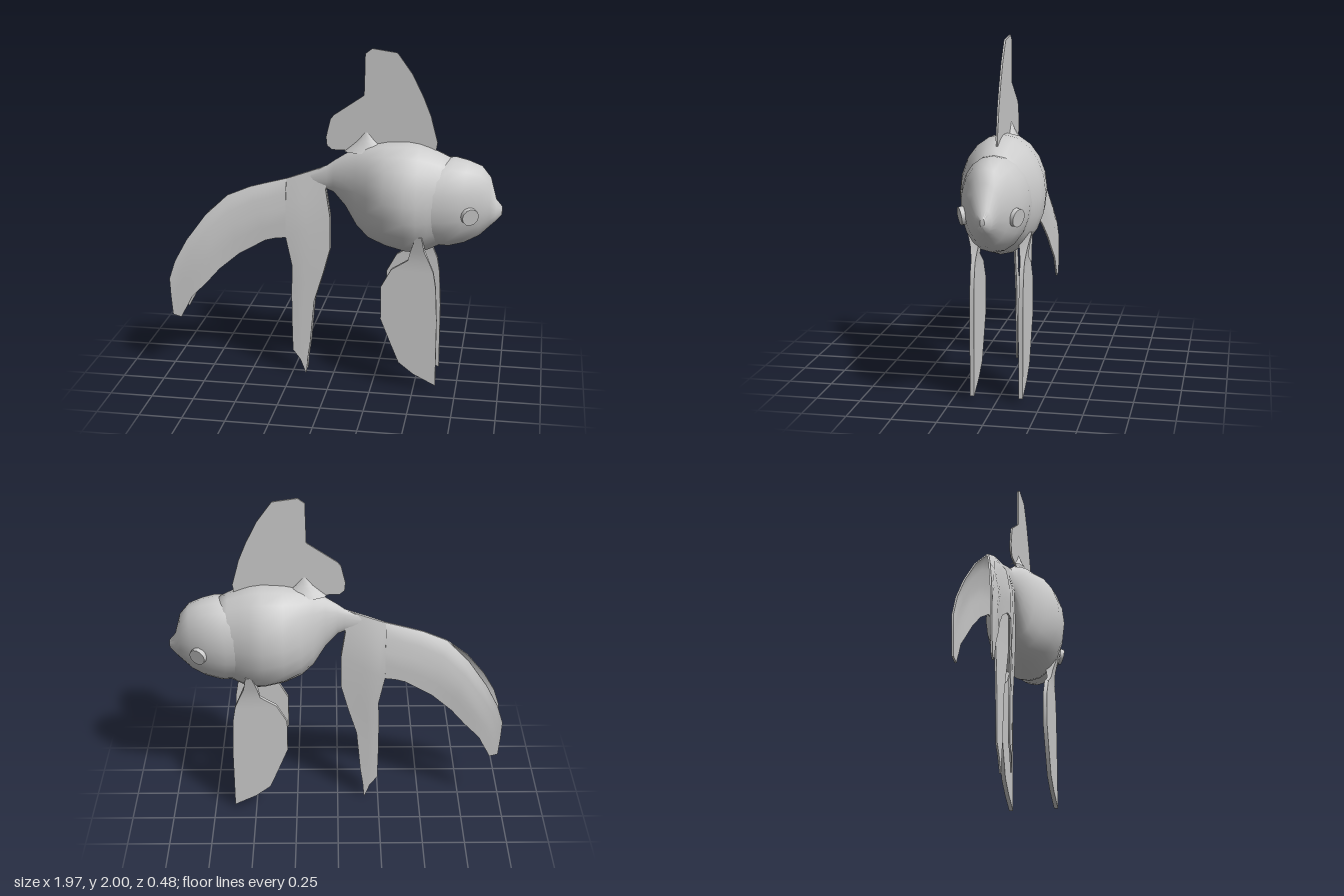
import * as THREE from 'three';
import { toCreasedNormals } from 'three/addons/utils/BufferGeometryUtils.js';

const { lerp, clamp, smoothstep } = THREE.MathUtils;
const material = new THREE.MeshStandardMaterial({ color: 0xcccccc });

// Skin closed rings of points and cap both ends; side -1 mirrors across z.
function loft(rings, side = 1, crease = 0.8) {
  const cap = (ring) => {
    const c = ring.reduce((s, p) => s.add(p), new THREE.Vector3()).divideScalar(ring.length);
    return ring.map(() => c);
  };
  const rows = [cap(rings[0]), ...rings, cap(rings[rings.length - 1])];
  const pos = [];
  const tri = (a, b, c) => {
    if (a.distanceTo(b) < 1e-6 || b.distanceTo(c) < 1e-6 || c.distanceTo(a) < 1e-6) return;
    for (const p of side > 0 ? [a, b, c] : [a, c, b]) pos.push(p.x, p.y, p.z * side);
  };
  for (let i = 0; i < rows.length - 1; i++) {
    const n = rows[i].length;
    for (let j = 0; j < n; j++) {
      const k = (j + 1) % n;
      tri(rows[i][j], rows[i + 1][j], rows[i + 1][k]);
      tri(rows[i][j], rows[i + 1][k], rows[i][k]);
    }
  }
  const g = new THREE.BufferGeometry();
  g.setAttribute('position', new THREE.Float32BufferAttribute(pos, 3));
  return toCreasedNormals(g, crease);
}

// Elliptical ring; bend curves it into the swept edge of a gill cover.
function oval(x, top, bottom, w, bend = 0) {
  return Array.from({ length: 20 }, (_, j) => {
    const a = (j / 20) * Math.PI * 2, s = Math.sin(a);
    return new THREE.Vector3(
      x + bend * (0.13 * s * s + 0.03 * s),
      (top + bottom) / 2 + ((top - bottom) / 2) * s,
      w * Math.cos(a));
  });
}

// Thin sheet across ribs [ax, ay, bx, by], placed in depth by zAt.
function sheet(ribs, zAt, half, side) {
  const n = 8;
  return loft(ribs.map(([ax, ay, bx, by]) => {
    const row = (s) => Array.from({ length: n + 1 }, (_, j) => {
      const x = lerp(ax, bx, j / n), y = lerp(ay, by, j / n);
      return new THREE.Vector3(x, y, zAt(x, y) + s * half(y));
    });
    return [...row(1), ...row(-1).reverse()];
  }), side);
}

// Linear lookup in [x, value] pairs listed by falling x.
function along(table, x) {
  for (let i = 1; i < table.length; i++) {
    const [x0, v0] = table[i - 1], [x1, v1] = table[i];
    if (x >= x1) return lerp(v0, v1, clamp((x - x0) / (x1 - x0), 0, 1));
  }
  return table[table.length - 1][1];
}

// Upper tail lobe: top edge to bottom edge, running backwards
const upperLobe = [
  [-0.28, 1.22, -0.28, 0.87], [-0.4, 1.188, -0.34, 0.865], [-0.5, 1.16, -0.4, 0.85],
  [-0.64, 1.1, -0.56, 0.76], [-0.77, 0.98, -0.68, 0.66], [-0.88, 0.83, -0.76, 0.57],
  [-0.95, 0.7, -0.85, 0.48], [-0.985, 0.59, -0.88, 0.42], [-0.98, 0.48, -0.905, 0.375],
  [-0.97, 0.36, -0.92, 0.345],
];
// Lower tail lobe: rear edge to front edge, running down
const lowerLobe = [
  [-0.28, 1.22, -0.03, 1.31], [-0.28, 1.05, -0.045, 1.165], [-0.28, 0.87, -0.02, 1.0],
  [-0.245, 0.7, -0.02, 0.8], [-0.248, 0.55, -0.06, 0.65], [-0.25, 0.4, -0.115, 0.47],
  [-0.245, 0.15, -0.14, 0.2], [-0.2, 0.09, -0.155, 0.1], [-0.168, 0, -0.163, 0.01],
];
const pectoral = [
  [0.5, 0.95, 0.535, 0.95], [0.47, 0.86, 0.55, 0.86], [0.455, 0.8, 0.58, 0.79],
  [0.36, 0.74, 0.605, 0.73], [0.3, 0.63, 0.62, 0.64], [0.3, 0.43, 0.63, 0.43],
  [0.36, 0.28, 0.63, 0.28], [0.41, 0.16, 0.63, 0.17], [0.5, 0.09, 0.63, 0.1],
  [0.62, 0.03, 0.63, 0.025],
];
const dorsal = [
  [0.59, 1.4, -0.01, 1.405], [0.595, 1.44, -0.04, 1.43], [0.6, 1.47, -0.045, 1.48],
  [0.57, 1.58, -0.02, 1.585], [0.56, 1.62, 0, 1.61], [0.515, 1.73, 0.175, 1.73],
  [0.45, 1.86, 0.178, 1.86], [0.37, 1.97, 0.18, 1.97], [0.36, 1.98, 0.22, 2],
];

// Tail halves meet along the top ridge, then spread apart towards the tips.
const tailTop = [[-0.03, 1.31], [-0.15, 1.27], ...upperLobe.slice(0, 8)];
const tailSpread = [[-0.02, 0.02], [-0.2, 0.045], [-0.6, 0.062], [-0.8, 0.09], [-0.98, 0.1]];
function tailZ(x, y) {
  const depth = Math.sqrt(clamp((along(tailTop, x) - y) / 0.22, 0, 1));
  const edge = 0.1 * clamp((-0.64 - x) / 0.34, 0, 1);
  const z = lerp(edge, along(tailSpread, x), depth);
  return x > -0.29 ? z * lerp(0.75, 1, smoothstep(y, 0.3, 0.87)) : z;
}

export function createModel() {
  const group = new THREE.Group();
  const add = (name, geometry) => {
    const mesh = new THREE.Mesh(geometry, material);
    mesh.name = name;
    group.add(mesh);
    return mesh;
  };

  // Round body, narrowing to the tail root: x, top, bottom, half width
  add('body', loft([
    [-0.2, 1.245, 1.18, 0.008], [-0.04, 1.31, 1.165, 0.027], [0, 1.34, 1.15, 0.04],
    [0.07, 1.385, 1.07, 0.07], [0.14, 1.42, 0.95, 0.11], [0.21, 1.443, 0.885, 0.165],
    [0.31, 1.463, 0.845, 0.23], [0.43, 1.47, 0.815, 0.242], [0.5, 1.46, 0.81, 0.225],
    [0.56, 1.44, 0.83, 0.2], [0.63, 1.41, 0.865, 0.175], [0.7, 1.375, 0.9, 0.15],
  ].map((r) => oval(...r)), 1, 1.2));

  // Head with raised gill cover edge
  add('head', loft([
    [0.535, 1.37, 0.885, 0.165, 1], [0.52, 1.39, 0.865, 0.19, 1], [0.64, 1.392, 0.862, 0.19, 0.45],
    [0.75, 1.375, 0.885, 0.165, 0.2], [0.85, 1.345, 0.93, 0.12, 0.05], [0.91, 1.28, 0.985, 0.082],
    [0.945, 1.15, 1.02, 0.045], [0.98, 1.11, 1.06, 0.012],
  ].map((r) => oval(...r))));

  // Dorsal fin with a flared root
  add('dorsalFin', sheet(dorsal, () => 0, () => 0.005, 1));
  const flare = new THREE.LatheGeometry(
    [[1, 0], [0.75, 0.2], [0.4, 0.5], [0.15, 0.8], [0, 1]].map((p) => new THREE.Vector2(...p)), 12);
  flare.scale(0.13, 0.13, 0.06).translate(0.19, 1.4, 0);
  add('dorsalFinRoot', flare);

  for (const side of [1, -1]) {
    const label = side > 0 ? 'Near' : 'Far';
    add('tailUpperLobe' + label, sheet(upperLobe, tailZ, () => 0.005, side));
    add('tailLowerLobe' + label, sheet(lowerLobe, tailZ, () => 0.005, side));
    add('pectoralFin' + label,
      sheet(pectoral, () => 0.137, (y) => 0.012 + Math.max(0, y - 0.82) * 0.25, side));

    // Disc eye lying on the cheek
    const eye = add('eye' + label, new THREE.CylinderGeometry(0.05, 0.052, 0.05, 12));
    eye.position.set(0.797, 1.085, 0.137 * side);
    eye.quaternion.setFromUnitVectors(new THREE.Vector3(0, 1, 0),
      new THREE.Vector3(0.45, -0.15, 0.88 * side).normalize());
  }
  return group;
}
